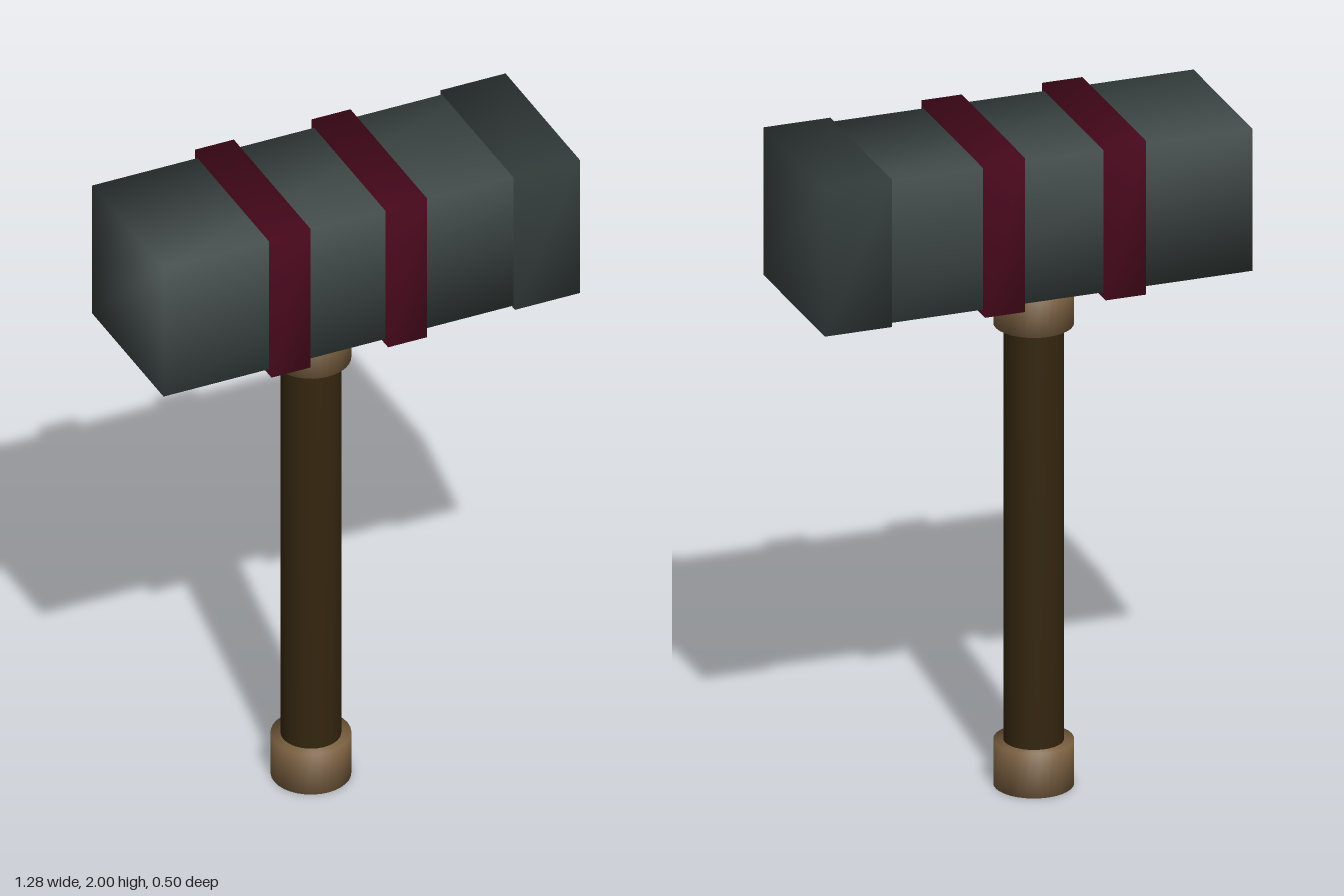
import * as THREE from 'three';
import { mergeVertices } from 'three/addons/utils/BufferGeometryUtils.js';

const material = (name, color) => {
  const m = new THREE.MeshStandardMaterial({ color });
  m.name = name;
  return m;
};

// Weld the corners so shading flows softly across the edges
function soften(geometry) {
  geometry.deleteAttribute('uv');
  geometry.deleteAttribute('normal');
  const welded = mergeVertices(geometry, 1e-4);
  welded.computeVertexNormals();
  return welded;
}

export function createModel() {
  const iron = material('dark iron', 0x3b4543);
  const crimson = material('crimson', 0x5c0e27);
  const wood = material('dark wood', 0x34260f);
  const leather = material('tan leather', 0x7d6242);
  const model = new THREE.Group();
  model.name = 'hammer';

  const add = (name, geometry, mat, x, y, z = 0) => {
    const mesh = new THREE.Mesh(soften(geometry), mat);
    mesh.name = name;
    mesh.position.set(x, y, z);
    model.add(mesh);
  };
  // Block between x0 and x1, centred on the head's axis
  const block = (name, x0, x1, height, depth, mat) =>
    add(name, new THREE.BoxGeometry(x1 - x0, height, depth), mat, (x0 + x1) / 2, 1.768);
  // Upright round part between y0 and y1, on the handle's axis
  const round = (name, y0, y1, radius, mat) =>
    add(name, new THREE.CylinderGeometry(radius, radius, y1 - y0, 32), mat, -0.075, (y0 + y1) / 2);

  // Head and its striking face
  block('head', -0.64, 0.6, 0.428, 0.466, iron);
  block('strikingFace', 0.44, 0.64, 0.445, 0.485, iron);

  // Bands around the head
  block('rightBand', -0.315, -0.195, 0.464, 0.5, crimson);
  block('leftBand', 0.045, 0.165, 0.464, 0.5, crimson);

  // Handle with a collar at each end
  round('handle', 0.02, 1.6, 0.085, wood);
  round('pommel', 0, 0.135, 0.113, leather);
  round('collar', 1.39, 1.522, 0.113, leather);

  return model;
}
